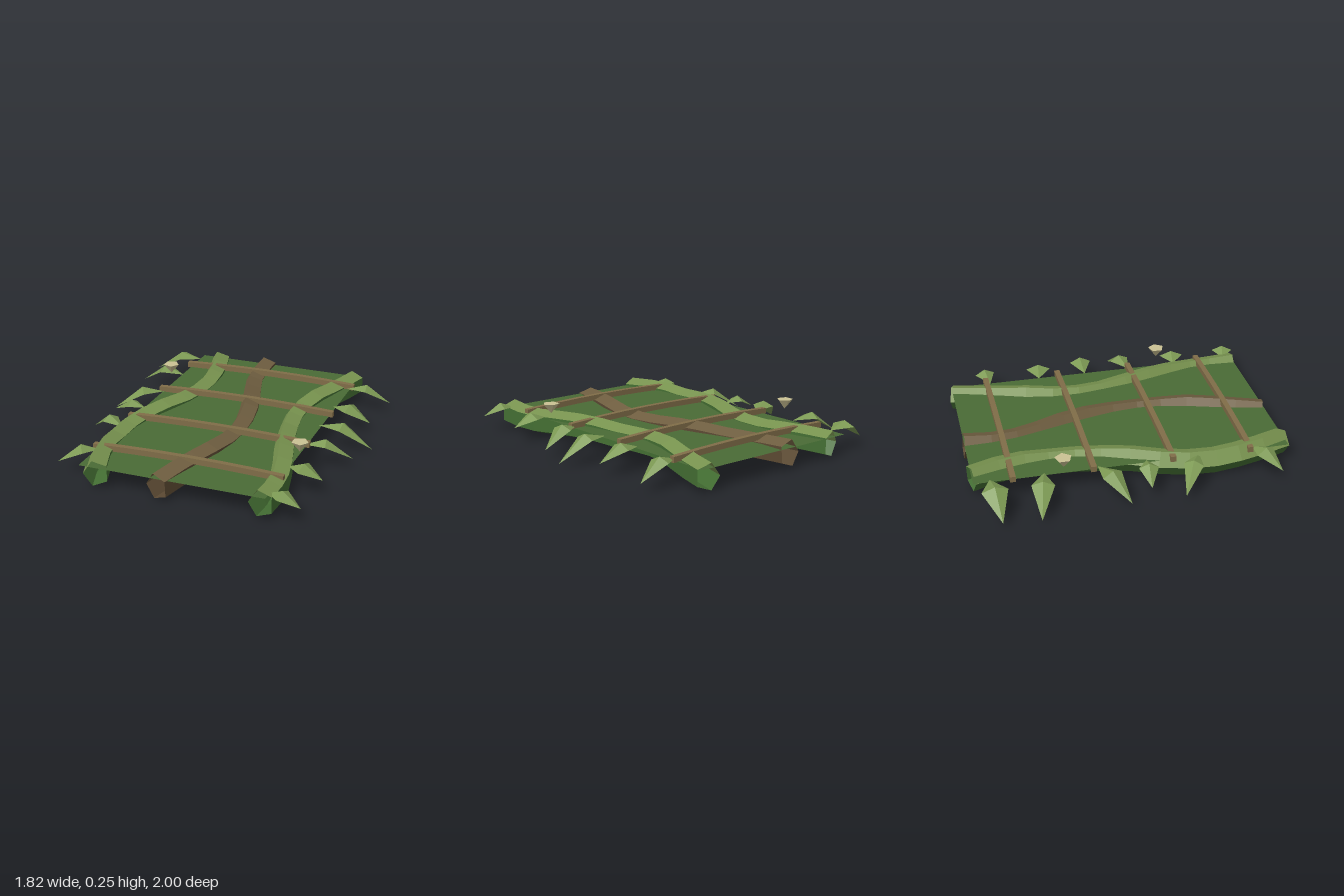
import * as THREE from 'three';

const mat = (name, color, double = true) => {
  const m = new THREE.MeshStandardMaterial({ color, flatShading: true });
  m.name = name;
  if (double) m.side = THREE.DoubleSide;
  return m;
};

// flat-shaded mesh from a list of Vector3 triangles
function triMesh(name, points, material) {
  const geo = new THREE.BufferGeometry().setFromPoints(points);
  geo.computeVertexNormals();
  const mesh = new THREE.Mesh(geo, material);
  mesh.name = name;
  return mesh;
}

// five-sided open vine swept along z, with lighter upper faces
function makeVine(name, xs, phase, topMat, bodyMat) {
  const zs = [-0.98, -0.73, -0.5, -0.25, 0, 0.25, 0.5, 0.72, 0.97];
  const curve = new THREE.CatmullRomCurve3(
    xs.map((x, i) => new THREE.Vector3(x, 0.093 + 0.01 * Math.sin(i * 1.9 + phase), zs[i])));
  const steps = 12, r = 0.085;
  const rings = [];
  for (let i = 0; i <= steps; i++) {
    const p = curve.getPoint(i / steps), t = curve.getTangent(i / steps);
    const side = new THREE.Vector3(t.z, 0, -t.x).normalize();
    const up = new THREE.Vector3().crossVectors(t, side);
    rings.push([0, 1, 2, 3, 4].map(k => {
      const a = (36 + 72 * k) * Math.PI / 180;
      return p.clone().addScaledVector(side, Math.cos(a) * r * 0.92).addScaledVector(up, Math.sin(a) * r);
    }));
  }
  const top = [], body = [];
  for (let i = 0; i < steps; i++) {
    for (let k = 0; k < 5; k++) {
      const a = rings[i][k], b = rings[i][(k + 1) % 5];
      const c = rings[i + 1][k], d = rings[i + 1][(k + 1) % 5];
      (k < 2 ? top : body).push(a, b, d, a, d, c);
    }
  }
  const g = new THREE.Group();
  g.name = name;
  g.add(triMesh('vineTop', top, topMat), triMesh('vineBody', body, bodyMat));
  return g;
}

// folded leaf: narrow base, raised middle, drooping tip
function makeLeaf([bx, bz, tx, tz, w], material) {
  const dx = tx - bx, dz = tz - bz, len = Math.hypot(dx, dz);
  const at = (f, s, y) => new THREE.Vector3(bx + dx * f - dz / len * s, y, bz + dz * f + dx / len * s);
  const base = at(0, 0, 0.14), tip = at(1, 0, 0.215 - 0.53 * len);
  const mid = at(0.45, 0, 0.18), a = at(0.43, w / 2, 0.15), b = at(0.43, -w / 2, 0.15);
  return triMesh('leaf', [base, a, mid, base, mid, b, mid, a, tip, mid, tip, b], material);
}

// thin crosspiece with a slight arch
function makeSlat(z, material) {
  const geo = new THREE.BoxGeometry(1.22, 0.036, 0.035, 6, 1, 1);
  const pos = geo.attributes.position;
  for (let i = 0; i < pos.count; i++) {
    const x = pos.getX(i) / 0.61;
    pos.setY(i, pos.getY(i) + 0.163 - 0.016 * x * x);
  }
  geo.computeVertexNormals();
  const mesh = new THREE.Mesh(geo, material);
  mesh.name = 'slat';
  mesh.position.set(-0.01, 0, z);
  return mesh;
}

export function createModel() {
  const model = new THREE.Group();
  model.name = 'vineBridge';
  const deckGreen = mat('deckGreen', 0x4a6b35);
  const vineGreen = mat('vineGreen', 0x446f33);
  const vineLight = mat('vineLightGreen', 0x78934f);
  const rootBrown = mat('rootBrown', 0x5c4a33);
  const rootLight = mat('rootLightBrown', 0x6f5e40);
  const slatBrown = mat('slatBrown', 0x806d48, false);
  const leafGreen = mat('leafGreen', 0x7d9a54);
  const bone = mat('paleThorn', 0xcbc294, false);

  // deck sheet
  const deck = new THREE.Mesh(new THREE.PlaneGeometry(1.17, 1.95), deckGreen);
  deck.name = 'deck';
  deck.rotation.x = -Math.PI / 2;
  deck.position.set(-0.01, 0.133, -0.005);
  model.add(deck);

  // long vines
  model.add(
    makeVine('rightVine', [-0.47, -0.4, -0.38, -0.4, -0.48, -0.565, -0.58, -0.56, -0.48], 0, vineLight, vineGreen),
    makeVine('centreRoot', [-0.11, -0.11, -0.05, 0.03, 0.08, 0.09, 0.05, -0.02, -0.09], 2, rootLight, rootBrown),
    makeVine('leftVine', [0.54, 0.47, 0.4, 0.355, 0.38, 0.44, 0.51, 0.55, 0.55], 4, vineLight, vineGreen));

  // crosspieces
  for (const z of [-0.747, -0.26, 0.23, 0.717]) model.add(makeSlat(z, slatBrown));

  // edge leaves: base x, base z, tip x, tip z, width
  const leaves = [
    [-0.58, -0.88, -0.9, -0.85, 0.16], [-0.58, -0.555, -0.91, -0.625, 0.14],
    [-0.58, -0.23, -0.87, -0.085, 0.14], [-0.58, 0.07, -0.81, 0.05, 0.12],
    [-0.58, 0.4, -0.865, 0.245, 0.12], [-0.57, 0.74, -0.79, 0.87, 0.14],
    [0.56, -0.72, 0.85, -0.77, 0.13], [0.56, -0.39, 0.82, -0.36, 0.16],
    [0.56, -0.075, 0.91, -0.08, 0.14], [0.56, 0.23, 0.85, 0.145, 0.13],
    [0.57, 0.55, 0.79, 0.575, 0.16], [0.57, 0.91, 0.78, 0.955, 0.14]];
  for (const leaf of leaves) model.add(makeLeaf(leaf, leafGreen));

  // pale thorns pointing down
  for (const [x, z] of [[-0.62, -0.445], [0.6, 0.435]]) {
    const thorn = new THREE.Mesh(new THREE.CylinderGeometry(0.054, 0, 0.064, 5), bone);
    thorn.name = 'thorn';
    thorn.rotation.y = Math.PI / 2;
    thorn.position.set(x, 0.224, z);
    model.add(thorn);
  }
  return model;
}
